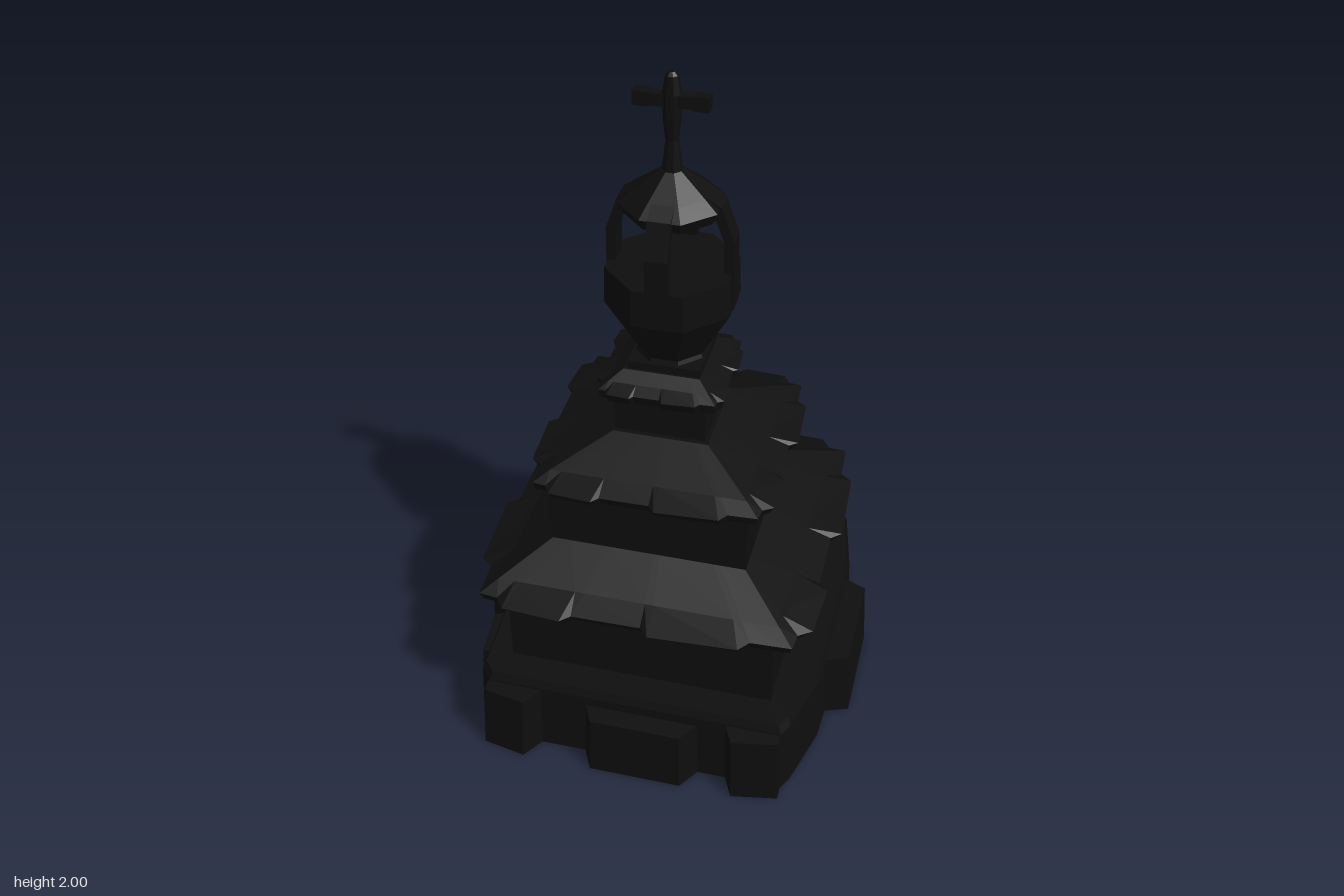
import * as THREE from 'three';

const stone = new THREE.MeshStandardMaterial({ color: 0x0e0e0e, flatShading: true });
stone.name = 'blackStone';

// Skin between stacked rings of [x, y, z] points, closed with a fan at each end
function loft(rings) {
  const pos = [];
  const tri = (...p) => p.forEach((v) => pos.push(...v));
  const n = rings[0].length;
  for (let r = 0; r < rings.length - 1; r++) {
    for (let i = 0; i < n; i++) {
      const j = (i + 1) % n, lo = rings[r], hi = rings[r + 1];
      tri(lo[i], hi[i], hi[j]);
      tri(lo[i], hi[j], lo[j]);
    }
  }
  [rings[0], rings[rings.length - 1]].forEach((ring, top) => {
    const c = [0, 1, 2].map((k) => ring.reduce((s, p) => s + p[k], 0) / n);
    for (let i = 0; i < n; i++) {
      const a = ring[i], b = ring[(i + 1) % n];
      if (top) tri(c, b, a); else tri(c, a, b);
    }
  });
  const g = new THREE.BufferGeometry();
  g.setAttribute('position', new THREE.Float32BufferAttribute(pos, 3));
  g.computeVertexNormals();
  return g;
}

const level = (pts, y, s = 1) => pts.map(([x, z]) => [x * s, y, z * s]);

// Square ring with stepped, chipped edges; jag is how far the tiles stick out
const STEPS = [-1, -0.74, -0.68, -0.12, -0.06, 0.38, 0.44, 0.82, 0.88];
const JAGS = [0, 0.1, 0.75, 1, 0.45, 0.5, 1, 0.8, 0.1];
function eaveRing(half, jag, y) {
  const pts = [];
  for (let k = 0; k < 4; k++) {
    const a = (k * Math.PI) / 2, c = Math.round(Math.cos(a)), s = Math.round(Math.sin(a));
    STEPS.forEach((t, i) => {
      const x = t * half, z = -half - jag * JAGS[i];
      pts.push([x * c - z * s, y, x * s + z * c]);
    });
  }
  return pts;
}

export function createModel() {
  const model = new THREE.Group();
  const add = (name, geometry, x = 0, y = 0, z = 0, parent = model) => {
    const m = new THREE.Mesh(geometry, stone);
    m.name = name;
    m.position.set(x, y, z);
    parent.add(m);
    return m;
  };

  // Rough plinth
  const core = [[-0.34, -0.49], [0.23, -0.525], [0.34, -0.53], [0.47, -0.485], [0.515, -0.265],
    [0.515, 0.19], [0.51, 0.29], [0.475, 0.425], [0.46, 0.48], [0.44, 0.52], [-0.46, 0.52],
    [-0.495, 0.48], [-0.515, 0.2], [-0.495, -0.395], [-0.45, -0.485]];
  add('plinth', loft([level(core, 0), level(core, 0.22, 0.985), level(core, 0.245, 0.965)]));

  // Projecting stones round the plinth
  const stones = [
    [0.21, [[-0.34, -0.48], [-0.305, -0.565], [0.185, -0.59], [0.23, -0.48]]],
    [0.215, [[0.48, -0.21], [0.585, -0.165], [0.585, 0.16], [0.48, 0.2]]],
    [0.215, [[0.255, 0.48], [0.44, 0.48], [0.44, 0.56], [0.305, 0.585]]],
    [0.19, [[-0.18, 0.48], [0.215, 0.48], [0.15, 0.585], [-0.125, 0.585]]],
    [0.215, [[-0.465, 0.48], [-0.27, 0.48], [-0.335, 0.585], [-0.465, 0.56]]],
    [0.215, [[-0.545, 0.245], [-0.48, 0.215], [-0.48, 0.405], [-0.525, 0.405]]],
    [0.215, [[-0.57, -0.275], [-0.48, -0.315], [-0.48, 0.185], [-0.585, 0.135]]],
  ];
  stones.forEach(([h, pts]) => add('plinthStone', loft([level(pts, 0), level(pts, h, 0.98)])));

  // Tower tiers, each a square storey under a chipped spreading roof
  const tower = new THREE.Group();
  tower.name = 'tower';
  model.add(tower);
  const tiers = [
    // x, z, wall half, bottom, eave bottom, eave corner half, tile overhang, kink half, kink y, top half, top y
    [-0.014, 0.016, 0.397, 0.23, 0.505, 0.46, 0.055, 0.415, 0.56, 0.285, 0.638],
    [-0.015, 0.013, 0.29, 0.62, 0.835, 0.325, 0.044, 0.285, 0.885, 0.14, 0.945],
    [-0.02, 0.006, 0.133, 0.93, 1.072, 0.168, 0.025, 0.145, 1.115, 0.11, 1.14],
  ];
  tiers.forEach(([x, z, w, y0, y1, e, jag, k, ky, t, ty]) => {
    add('storey', new THREE.BoxGeometry(w * 2, y1 - y0 + 0.02, w * 2), x, (y0 + y1 + 0.02) / 2, z, tower);
    add('roof', loft([
      eaveRing(w * 0.98, 0, y1 - 0.003),
      eaveRing(e * 0.98, jag * 0.7, y1),
      eaveRing(e, jag, y1 + 0.027),
      eaveRing(k, 0, ky),
      eaveRing(t, 0, ty),
    ]), x, 0, z, tower);
  });
  add('neck', new THREE.BoxGeometry(0.21, 0.05, 0.21), -0.016, 1.138, 0.004, tower);

  // Eight-sided lantern
  const lantern = new THREE.Group();
  lantern.name = 'lantern';
  lantern.position.set(-0.016, 0, 0.003);
  model.add(lantern);
  const turned = (name, profile, sides) => {
    const rings = profile.map(([r, y]) => Array.from({ length: sides }, (_, i) => {
      const a = ((i + 0.5) / sides) * Math.PI * 2;
      return [r * Math.cos(a), y, r * Math.sin(a)];
    }));
    return add(name, loft(rings), 0, 0, 0, lantern);
  };
  turned('bowl', [[0.11, 1.15], [0.1, 1.175], [0.192, 1.33], [0.188, 1.44]], 8);
  turned('cap', [[0.13, 1.6], [0.148, 1.635], [0.11, 1.665], [0.03, 1.725]], 8);

  // Four bent ribs holding the cap
  const ribShape = new THREE.Shape([[0.155, 1.32], [0.18, 1.33], [0.178, 1.54], [0.143, 1.64],
    [0.1, 1.668], [0.1, 1.6], [0.128, 1.6], [0.15, 1.54]].map((p) => new THREE.Vector2(...p)));
  const ribGeometry = new THREE.ExtrudeGeometry(ribShape, { depth: 0.064, bevelEnabled: false });
  ribGeometry.translate(0, 0, -0.032);
  for (let i = 0; i < 4; i++) add('rib', ribGeometry, 0, 0, 0, lantern).rotation.y = (i * Math.PI) / 2;

  // Cross finial
  turned('finialPost', [[0.055, 1.69], [0.028, 1.725], [0.018, 1.81], [0.025, 1.87], [0.026, 1.94],
    [0.018, 1.99], [0.008, 2]], 8);
  add('finialArm', new THREE.BoxGeometry(0.2, 0.034, 0.03), 0, 1.922, 0, lantern);
  [-1, 1].forEach((s) => add('armEnd', new THREE.BoxGeometry(0.045, 0.04, 0.034), s * 0.08, 1.922, 0, lantern));

  return model;
}
